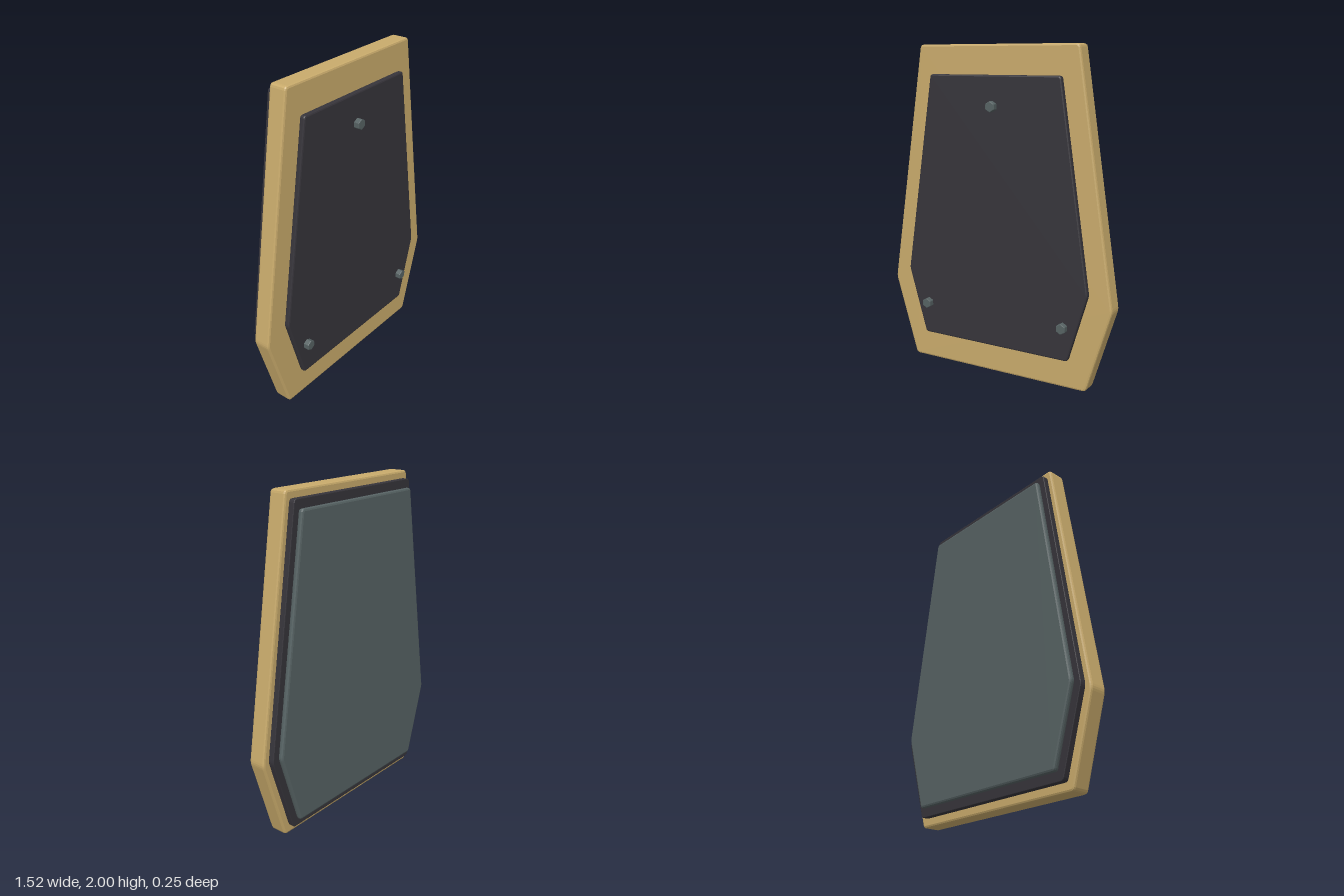
import * as THREE from 'three';

const material = (name, color) => {
  const m = new THREE.MeshStandardMaterial({ color });
  m.name = name;
  return m;
};

// Closed outline with small rounded corners
function roundedOutline(points, radius) {
  const shape = new THREE.Shape();
  const pts = points.map(([x, y]) => new THREE.Vector2(x, y));
  pts.forEach((p, i) => {
    const prev = pts[(i + pts.length - 1) % pts.length];
    const next = pts[(i + 1) % pts.length];
    const a = prev.clone().sub(p).setLength(radius).add(p);
    const b = next.clone().sub(p).setLength(radius).add(p);
    if (i === 0) shape.moveTo(a.x, a.y);
    else shape.lineTo(a.x, a.y);
    shape.quadraticCurveTo(p.x, p.y, b.x, b.y);
  });
  shape.closePath();
  return shape;
}

// Slab from z0 to z1 whose bevel stays inside the outline
function slab(name, points, z0, z1, bevel, radius, mat) {
  const geometry = new THREE.ExtrudeGeometry(roundedOutline(points, radius), {
    depth: z1 - z0 - 2 * bevel,
    bevelThickness: bevel,
    bevelSize: bevel,
    bevelOffset: -bevel,
    bevelSegments: 2,
    curveSegments: 3,
  });
  geometry.translate(0, 0, z0 + bevel);
  const mesh = new THREE.Mesh(geometry, mat);
  mesh.name = name;
  return mesh;
}

// Symmetric six-sided outline: [half width, height] at bottom, middle and top
const hexOutline = (bottom, middle, top) => [
  bottom, middle, top,
  ...[top, middle, bottom].map(([x, y]) => [-x, y]),
];

export function createModel() {
  const model = new THREE.Group();
  model.name = 'layeredPanel';
  const wood = material('wood', 0xc8aa6b);
  const dark = material('darkRubber', 0x36343a);
  const steel = material('greySteel', 0x566263);

  // Layers from front to back
  model.add(
    slab('frontPlate', hexOutline([0.502, 0.18], [0.624, 0.595], [0.436, 1.825]), 0.055, 0.09, 0.009, 0.015, dark),
    slab('woodenBoard', hexOutline([0.608, 0], [0.762, 0.51], [0.53, 2]), -0.055, 0.055, 0.012, 0.02, wood),
    slab('backPlate', hexOutline([0.575, 0.05], [0.723, 0.53], [0.505, 1.955]), -0.093, -0.055, 0.004, 0.018, dark),
    slab('backPanel', hexOutline([0.548, 0.1], [0.686, 0.55], [0.48, 1.905]), -0.127, -0.093, 0.012, 0.015, steel),
  );

  // Hexagonal bolt heads on the front plate
  const hexagon = Array.from({ length: 6 }, (_, i) => {
    const a = Math.PI / 2 + (i * Math.PI) / 3;
    return [0.033 * Math.cos(a), 0.033 * Math.sin(a)];
  });
  for (const [x, y] of [[0, 1.645], [-0.473, 0.385], [0.473, 0.385]]) {
    const bolt = slab('bolt', hexagon, 0.085, 0.124, 0.004, 0.004, steel);
    bolt.position.set(x, y, 0);
    model.add(bolt);
  }
  return model;
}
